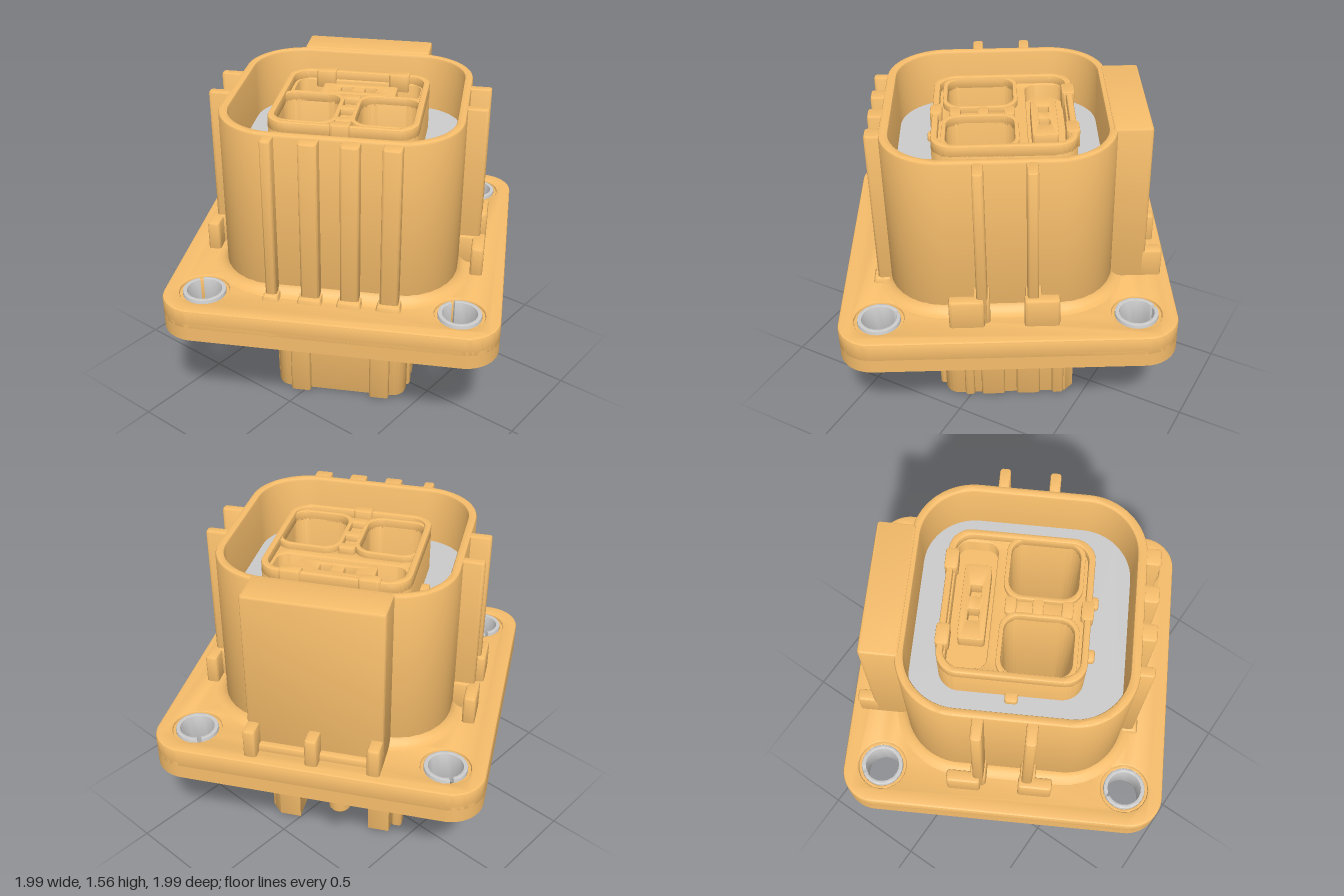
import * as THREE from 'three';
import { toCreasedNormals } from 'three/addons/utils/BufferGeometryUtils.js';

const tan = new THREE.MeshStandardMaterial({ color: 0xf6bd6b });
const grey = new THREE.MeshStandardMaterial({ color: 0xcccccc });

// Rounded rectangle seen from above: x from x0 to x1, z from z0 to z1
function rounded(x0, x1, z0, z1, r, Type = THREE.Shape) {
  const s = new Type(), a = -z1, b = -z0;
  s.moveTo(x0 + r, a);
  s.lineTo(x1 - r, a);
  s.absarc(x1 - r, a + r, r, -Math.PI / 2, 0);
  s.absarc(x1 - r, b - r, r, 0, Math.PI / 2);
  s.absarc(x0 + r, b - r, r, Math.PI / 2, Math.PI);
  s.absarc(x0 + r, a + r, r, Math.PI, Math.PI * 1.5);
  s.closePath();
  return s;
}
const hole = (...a) => rounded(...a, THREE.Path);
const circle = (x, z, r) => new THREE.Path().absarc(x, -z, r, 0, Math.PI * 2);

function withHoles(shape, ...holes) {
  shape.holes.push(...holes);
  return shape;
}

// Concave fillet of radius f where the shroud meets the flange
function filletGeometry(f, levels = 5, steps = 8) {
  const pos = [], index = [], n = 4 * (steps + 1);
  const centres = [[0.265, -0.215], [-0.265, -0.215], [-0.265, 0.265], [0.265, 0.265]];
  for (let l = 0; l <= levels; l++) {
    const a = (l / levels) * Math.PI / 2, r = 0.28 + f * (1 - Math.sin(a));
    centres.forEach(([cx, cz], q) => {
      for (let i = 0; i <= steps; i++) {
        const t = (q + i / steps) * Math.PI / 2;
        pos.push(cx + r * Math.cos(t), 0.749 + f * (1 - Math.cos(a)), cz - r * Math.sin(t));
      }
    });
    if (l === levels) break;
    for (let i = 0; i < n; i++) {
      const p = l * n + i, q = l * n + (i + 1) % n;
      index.push(p, q, q + n, p, q + n, p + n);
    }
  }
  const geo = new THREE.BufferGeometry();
  geo.setAttribute('position', new THREE.Float32BufferAttribute(pos, 3));
  geo.setIndex(index);
  geo.computeVertexNormals();
  return geo;
}

export function createModel() {
  const body = new THREE.Group();
  body.name = 'connectorBody';

  function addMesh(name, geo, material = tan) {
    const mesh = new THREE.Mesh(geo, material);
    mesh.name = name;
    body.add(mesh);
    return mesh;
  }
  // Vertical extrusion from y0 to y1 with a small rounded edge
  function add(name, shape, y0, y1, bevel = 0.008, material = tan) {
    const geo = new THREE.ExtrudeGeometry(shape, {
      depth: y1 - y0 - 2 * bevel, curveSegments: 10, bevelEnabled: bevel > 0,
      bevelThickness: bevel, bevelSize: bevel, bevelOffset: -bevel, bevelSegments: 2,
    });
    geo.rotateX(-Math.PI / 2).translate(0, y0 + bevel, 0);
    addMesh(name, toCreasedNormals(geo, 0.6), material);
  }
  const block = (name, x0, x1, z0, z1, y0, y1, b = 0.008) =>
    add(name, rounded(x0, x1, z0, z1, 0.015), y0, y1, b);
  const span = (a, b, k) => (k > 0 ? [a, b] : [-b, -a]);

  // Flange: solid top layer, bottom layer with weight-saving pockets
  const H = 0.775, B = 0.589;
  const corners = [[-B, -B], [B, -B], [B, B], [-B, B]];
  const bolts = r => corners.map(([x, z]) => circle(x, z, r));
  const pockets = [];
  for (const s of [-1, 1]) {
    for (const c of [-0.27, 0, 0.27]) {
      pockets.push(hole(c - 0.11, c + 0.11, ...span(0.615, 0.705, s), 0.015));
      pockets.push(hole(...span(0.615, 0.705, s), c - 0.11, c + 0.11, 0.015));
    }
  }
  add('flangeTop', withHoles(rounded(-H, H, -H, H, 0.16), ...bolts(0.115),
    hole(-0.3, 0.3, -0.15, 0.27, 0.05)), 0.65, 0.75, 0.01);
  add('flangeBottom', withHoles(rounded(-H, H, -H, H, 0.16), ...bolts(0.115), ...pockets,
    hole(-0.45, 0.45, -0.42, 0.43, 0.2)), 0.59, 0.68, 0);

  // Sealing ridges under the flange
  add('outerSealRidge', withHoles(rounded(-0.55, 0.55, -0.53, 0.54, 0.28),
    hole(-0.51, 0.51, -0.49, 0.5, 0.24)), 0.56, 0.6);
  add('innerSealRidge', withHoles(rounded(-0.47, 0.47, -0.44, 0.45, 0.22),
    hole(-0.42, 0.42, -0.39, 0.4, 0.18)), 0.56, 0.67);

  // Split bushings and their collars in the four corners
  for (const [x, z] of corners) {
    const ring = new THREE.Shape();
    const g = 2.1;
    ring.absarc(x, -z, 0.1, g, g + 6.1, false);
    ring.absarc(x, -z, 0.08, g + 6.1, g, true);
    ring.closePath();
    add('bushing', ring, 0.585, 0.755, 0.004, grey);
    const collar = new THREE.Shape().absarc(x, -z, 0.122, 0, Math.PI * 2);
    add('bushingCollar', withHoles(collar, circle(x, z, 0.1)), 0.6, 0.738, 0.004);
  }

  // Shroud with a flared foot
  add('shroud', withHoles(rounded(-0.55, 0.55, -0.5, 0.55, 0.28),
    hole(-0.51, 0.51, -0.46, 0.505, 0.24)), 0.74, 1.545, 0.012);
  addMesh('shroudFillet', filletGeometry(0.065));

  // Thick keying slab at the back, with three short posts
  block('backSlab', -0.315, 0.315, -0.655, -0.48, 0.74, 1.55, 0.01);
  for (const x of [-0.285, 0, 0.285]) {
    block('backPost', x - 0.03, x + 0.03, -0.735, -0.63, 0.73, 0.89, 0.012);
  }
  block('backStep', -0.3, 0.3, -0.685, -0.63, 0.73, 0.785, 0.012);

  // Keying ribs on the front
  for (const x of [-0.27, -0.09, 0.09, 0.27]) {
    const w = x < -0.2 ? 0.025 : 0.042;
    block('frontRib', x - w, x + w, 0.525, 0.612, 0.74, 1.54);
    block('frontRibFoot', x - w - 0.015, x + w + 0.015, 0.54, 0.635, 0.71, 0.775, 0.024);
  }

  // Keying ribs and hooked feet on both sides
  for (const s of [-1, 1]) {
    for (const t of [-1, 1]) {
      const z = t * 0.17 + s * 0.015;
      block('sideRib', ...span(0.53, 0.645, s), ...span(0.09, 0.14, t), 0.74, 1.54);
      block('sideFoot', ...span(0.54, 0.64, s), ...span(0.08, 0.155, t), 0.73, 0.89, 0.012);
      block('sideHook', ...span(0.61, 0.67, s), z - 0.08, z + 0.08, 0.73, 0.89, 0.012);
    }
  }

  // Seal on the floor of the shroud
  add('seal', withHoles(rounded(-0.515, 0.515, -0.465, 0.51, 0.24),
    hole(-0.33, 0.33, -0.3, 0.29, 0.09)), 1.2, 1.27, 0, grey);

  // Contact insert inside the shroud: two sockets and a rear bay
  const sockets = (g = 0) => [-0.185, 0.185].map(x =>
    hole(x - 0.135 - g, x + 0.135 + g, -0.05 - g, 0.26 + g, 0.07));
  add('insert', withHoles(rounded(-0.345, 0.345, -0.33, 0.325, 0.1), ...sockets(),
    hole(-0.3, 0.3, -0.29, -0.11, 0.05)), 0.62, 1.46);
  add('insertRim', withHoles(rounded(-0.345, 0.345, -0.33, 0.325, 0.1),
    hole(-0.315, 0.315, -0.3, 0.295, 0.08)), 1.44, 1.5);
  for (const x of [-0.185, 0.185]) {
    add('socketLip', withHoles(rounded(x - 0.155, x + 0.155, -0.07, 0.28, 0.08),
      hole(x - 0.135, x + 0.135, -0.05, 0.26, 0.07)), 1.44, 1.49, 0.005);
    add('socketFloor', rounded(x - 0.14, x + 0.14, -0.055, 0.265, 0.07), 0.7, 0.72, 0, grey);
    add('socketBase', rounded(x - 0.14, x + 0.14, -0.055, 0.265, 0.07), 0.66, 0.69, 0);
  }
  for (const z of [-0.03, 0.09, 0.22]) {
    block('insertKey', -0.04, 0.04, z - 0.025, z + 0.025, 1.44, 1.49, 0.005);
  }
  block('insertLatch', -0.045, 0.045, 0.28, 0.335, 1.42, 1.505, 0.005);

  // Retainer in the rear bay with two small windows and clips
  block('bayFloor', -0.31, 0.31, -0.3, -0.1, 1.3, 1.38, 0);
  add('retainer', withHoles(rounded(-0.17, 0.19, -0.25, -0.13, 0.015),
    hole(-0.08, -0.025, -0.215, -0.165, 0.006), hole(0.035, 0.09, -0.215, -0.165, 0.006)),
    1.37, 1.46, 0.004);
  for (const x of [-0.17, 0.19]) {
    block('retainerClip', x - 0.05, x + 0.05, -0.34, -0.28, 1.42, 1.505, 0.005);
  }
  for (const x of [-0.355, 0.355]) block('sideTab', x - 0.03, x + 0.03, -0.02, 0.04, 1.25, 1.3);
  for (const x of [-0.13, 0.13]) block('frontTab', x - 0.03, x + 0.03, 0.3, 0.365, 1.25, 1.3);

  // Lower housing with rounded front corners, channelled at the back
  const low = new THREE.Shape();
  low.moveTo(-0.328, 0.29);
  low.absarc(-0.258, -0.255, 0.07, Math.PI, Math.PI * 1.5);
  low.absarc(0.258, -0.255, 0.07, -Math.PI / 2, 0);
  for (const [x, z] of [[0.328, -0.29], [0.288, -0.33], [0.18, -0.33], [0.18, -0.17],
    [-0.18, -0.17], [-0.18, -0.33], [-0.288, -0.33]]) low.lineTo(x, -z);
  low.closePath();
  add('lowerHousing', withHoles(low, ...sockets(-0.015), hole(-0.035, 0.035, -0.12, 0.25, 0.02)),
    0.01, 0.67);

  // Vertical ribs on the lower housing
  for (const x of [-0.2, 0.2]) block('lowerFrontRib', x - 0.05, x + 0.05, 0.28, 0.355, 0.01, 0.6);
  for (const s of [-1, 1]) {
    for (const [z, w] of [[-0.25, 0.03], [-0.1, 0.06], [0.08, 0.06], [0.2, 0.025]]) {
      block('lowerSideRib', ...span(0.29, 0.345, s), z - w, z + w, 0.012, 0.62);
    }
  }

  // Latch wedges, thickening upwards, front and back
  for (const s of [-1, 1]) {
    const z = s > 0 ? 0.31 : 0.165;
    const profile = new THREE.Shape(
      [[z, 0.44], [z + 0.05, 0.44], [z + 0.11, 0.6], [z, 0.6]].map(p => new THREE.Vector2(...p)));
    for (const x of [-0.07, 0.07]) {
      const geo = new THREE.ExtrudeGeometry(profile, { depth: 0.11, bevelEnabled: false });
      geo.translate(0, 0, -0.055).rotateY(-Math.PI / 2);
      const wedge = addMesh('latchWedge', geo);
      wedge.position.x = x;
      if (s < 0) wedge.rotation.y = Math.PI;
    }
  }

  // Locating peg under the flange
  const peg = addMesh('locatingPeg', new THREE.LatheGeometry([[0, 0.495], [0.04, 0.495],
    [0.05, 0.51], [0.05, 0.62]].map(p => new THREE.Vector2(...p)), 24));
  peg.position.set(-0.125, 0, -0.69);

  // The whole part is turned about the vertical and leans very slightly
  body.rotation.y = 0.506;
  body.position.y = -0.67;
  const model = new THREE.Group();
  model.name = 'flangedConnector';
  const lean = new THREE.Group();
  lean.name = 'lean';
  lean.position.y = 0.67;
  lean.rotation.set(0.0125, 0, -0.0125);
  lean.add(body);
  model.add(lean);
  return model;
}
